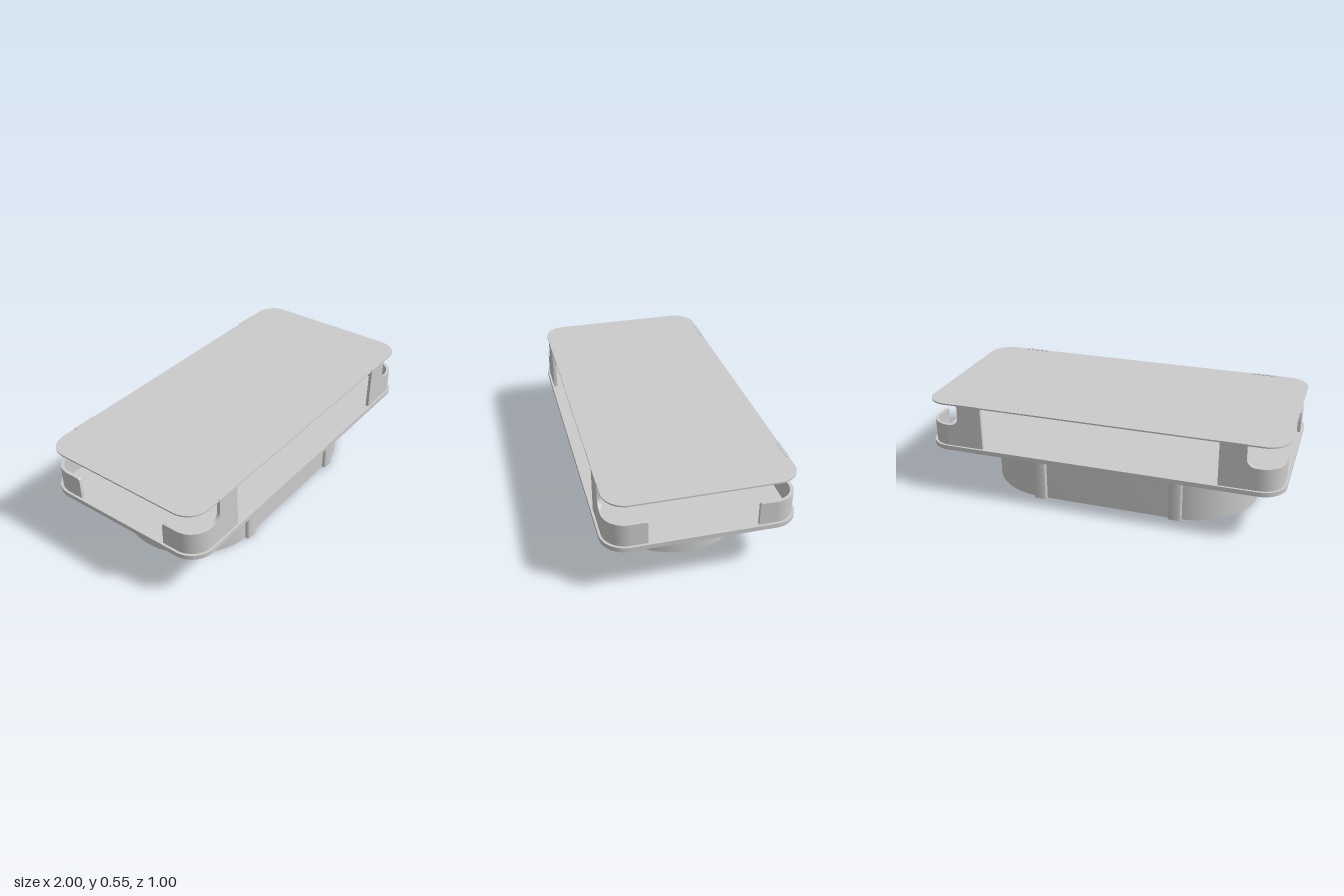
import * as THREE from 'three';
import { toCreasedNormals } from 'three/addons/utils/BufferGeometryUtils.js';

const material = new THREE.MeshStandardMaterial({ color: 0xcccccc });

// Points of an arc around (cx, cy) from angle a to angle b.
function arc(cx, cy, r, a, b, n = 12) {
  return Array.from({ length: n + 1 }, (_, i) => {
    const t = a + ((b - a) * i) / n;
    return [cx + r * Math.cos(t), cy + r * Math.sin(t)];
  });
}

// Outline of a rectangle with rounded corners, centred on the origin.
function roundedRect(hx, hy, r, n) {
  const q = Math.PI / 2;
  return [[1, 1], [-1, 1], [-1, -1], [1, -1]].flatMap(([sx, sy], i) =>
    arc(sx * (hx - r), sy * (hy - r), r, i * q, (i + 1) * q, n));
}

function extrude(points, depth) {
  const shape = new THREE.Shape(points.map(([x, y]) => new THREE.Vector2(x, y)));
  return new THREE.ExtrudeGeometry(shape, { depth, bevelEnabled: false });
}

// Upright slab with an (x, -z) outline between two heights.
function slab(points, y0, y1) {
  return extrude(points, y1 - y0).rotateX(-Math.PI / 2).translate(0, y0, 0);
}

function addPart(parent, name, geometry) {
  const mesh = new THREE.Mesh(toCreasedNormals(geometry, 0.6), material);
  mesh.name = name;
  parent.add(mesh);
  return mesh;
}

// Corner clip: tall tab on the long side, low wall round the corner.
function cornerClip(sx, sz) {
  const clip = new THREE.Group();
  const X = 0.987, Z = 0.488, R = 0.12, T = 0.018;
  const base = 0.3, low = 0.424, high = 0.551;
  const q = Math.PI / 2, cx = X - R, cz = Z - R;

  // Tab with a concave fillet down to the low wall
  const tab = [[0.66, base], [cx, base], [cx, low],
    ...arc(0.85, low + 0.05, 0.05, -q, -2 * q, 8), [0.8, high], [0.66, high]];
  addPart(clip, 'clipTab', extrude(tab.map(([x, y]) => [x * sx, y]), T)
    .translate(0, 0, sz > 0 ? Z - T : -Z));

  // Curved corner wall
  const bend = [...arc(cx, cz, R, 0, q), ...arc(cx, cz, R - T, q, 0)];
  addPart(clip, 'clipBend', slab(bend.map(([x, z]) => [x * sx, -z * sz]), base, low));

  // Short end wall, drawn as (-z, y) and turned to face sideways
  const end = [[cz, base], [cz, low], ...arc(0.292, low - 0.012, 0.012, q, 2 * q, 5), [0.28, base]];
  addPart(clip, 'clipEnd', extrude(end.map(([z, y]) => [-z * sz, y]), T)
    .rotateY(Math.PI / 2).translate(sx > 0 ? X - T : -X, 0, 0));
  return clip;
}

export function createModel() {
  const model = new THREE.Group();
  model.name = 'coveredTray';

  // Stadium-shaped base, slightly off centre
  const q = Math.PI / 2, left = -0.42, right = 0.362, radius = 0.39;
  const stadium = [...arc(right, 0, radius, -q, q, 40), ...arc(left, 0, radius, q, 3 * q, 40)];
  addPart(model, 'base', slab(stadium, 0, 0.275));

  // Ribs where the straight sides meet the round ends
  for (const x of [left, right]) {
    for (const s of [-1, 1]) {
      const rib = addPart(model, 'rib', slab(roundedRect(0.038, 0.03, 0.016, 6), 0, 0.275));
      rib.position.set(x, 0, s * 0.38);
    }
  }

  // Tray plate and thin cover sheet
  addPart(model, 'trayPlate', slab(roundedRect(1, 0.5, 0.13, 14), 0.275, 0.3));
  addPart(model, 'coverSheet', slab(roundedRect(1, 0.486, 0.12, 14), 0.541, 0.549));

  // Four corner clips
  for (const sx of [-1, 1]) {
    for (const sz of [-1, 1]) {
      const clip = cornerClip(sx, sz);
      clip.name = 'cornerClip';
      model.add(clip);
    }
  }
  return model;
}
